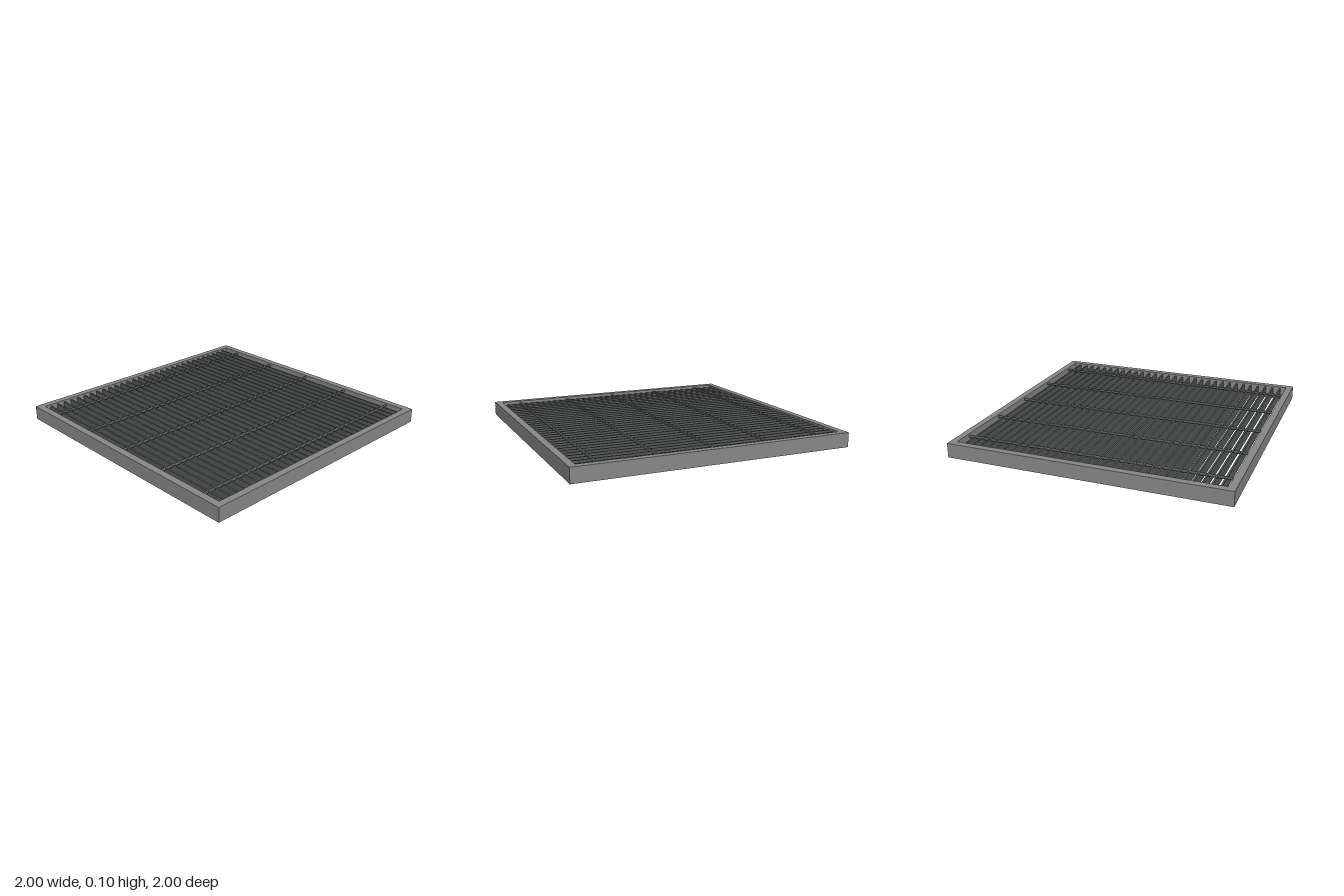
import * as THREE from 'three';

export function createModel() {
  const model = new THREE.Group();
  const frameGrey = new THREE.MeshStandardMaterial({ color: 0x888888 });
  frameGrey.name = 'frameGrey';
  const barGrey = new THREE.MeshStandardMaterial({ color: 0x555a58 });
  barGrey.name = 'barGrey';

  const height = 0.104, inner = 0.95;

  const add = (name, geometry, material, x, y, z) => {
    const mesh = new THREE.Mesh(geometry, material);
    mesh.name = name;
    mesh.position.set(x, y, z);
    model.add(mesh);
    return mesh;
  };

  // Square outer frame with an open middle
  const outline = new THREE.Shape([[-1, -1], [1, -1], [1, 1], [-1, 1]].map(([x, y]) => new THREE.Vector2(x, y)));
  outline.holes.push(new THREE.Path(
    [[-1, -1], [-1, 1], [1, 1], [1, -1]].map(([x, y]) => new THREE.Vector2(x * inner, y * inner))));
  const frame = new THREE.ExtrudeGeometry(outline, { depth: height, bevelEnabled: false });
  frame.rotateX(-Math.PI / 2);
  add('frame', frame, frameGrey, 0, 0, 0);

  // Upright bearing bars running front to back
  const barHeight = 0.08;
  const bar = new THREE.BoxGeometry(0.012, barHeight, inner * 2);
  for (let i = -15; i <= 15; i++) add('bearingBar', bar, barGrey, i * 0.06, height / 2, 0);

  // Cross rods set into the tops of the bars
  const radius = 0.01;
  const rod = new THREE.CylinderGeometry(radius, radius, inner * 2, 12);
  rod.rotateZ(Math.PI / 2);
  const rodY = height / 2 + barHeight / 2 - radius + 0.002;
  for (let i = -2; i <= 2; i++) add('crossRod', rod, barGrey, 0, rodY, i * 0.4);

  return model;
}
